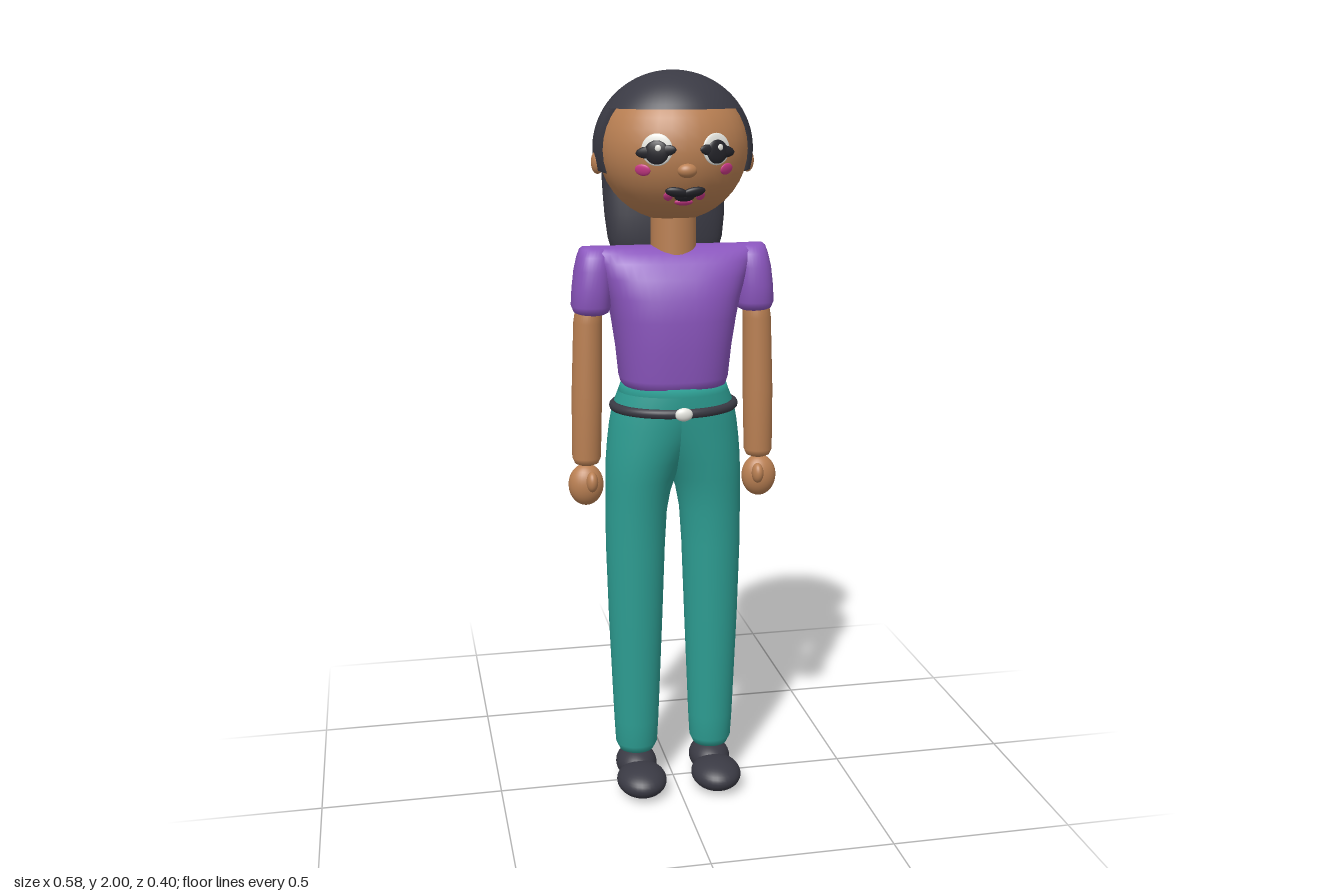
import * as THREE from 'three';
import { ParametricGeometry } from 'three/addons/geometries/ParametricGeometry.js';

const paint = (name, color, extra = {}) => new THREE.MeshStandardMaterial({ name, color, ...extra });

// Closed skin through rounded sections [y, cx, cz, rx, rz], listed from the bottom up
function loft(sections, side = 1, power = 2, seg = 36) {
  const pos = [], index = [], n = sections.length;
  const bend = (t) => Math.sign(t) * Math.pow(Math.abs(t), 2 / power);
  for (const [y, cx, cz, rx, rz] of sections) {
    for (let j = 0; j < seg; j++) {
      const a = (j / seg) * Math.PI * 2;
      pos.push(side * cx + rx * bend(Math.cos(a)), y, cz + rz * bend(Math.sin(a)));
    }
  }
  for (const s of [sections[0], sections[n - 1]]) pos.push(side * s[1], s[0], s[2]);
  for (let j = 0; j < seg; j++) {
    const k = (j + 1) % seg, top = (n - 1) * seg;
    for (let i = 0; i < n - 1; i++) {
      const a = i * seg + j, b = i * seg + k;
      index.push(a, a + seg, b, b, a + seg, b + seg);
    }
    index.push(n * seg, j, k, n * seg + 1, top + k, top + j);
  }
  const g = new THREE.BufferGeometry();
  g.setAttribute('position', new THREE.Float32BufferAttribute(pos, 3));
  g.setIndex(index);
  g.computeVertexNormals();
  return g;
}

export function createModel() {
  const skin = paint('skin', 0xba8053);
  const hair = paint('charcoal', 0x3a3a44, { side: THREE.DoubleSide });
  const shirt = paint('purple', 0x8a55bd);
  const trousers = paint('teal', 0x2d9d92);
  const white = paint('white', 0xe6e6e0);
  const dark = paint('black', 0x25252b);
  const pink = paint('pink', 0xcc3a88);

  const model = new THREE.Group();
  model.name = 'standingFigure';
  const add = (name, geometry, material) => {
    const m = new THREE.Mesh(geometry, material);
    m.name = name;
    model.add(m);
    return m;
  };
  const ball = (name, material, p, r) => {
    const m = add(name, new THREE.SphereGeometry(1, 32, 20), material);
    m.position.set(...p);
    m.scale.set(...r);
    return m;
  };

  // Head and neck
  const H = { y: 1.8, rx: 0.196, ry: 0.186, rz: 0.186 };
  ball('head', skin, [0, H.y, 0], [H.rx, H.ry, H.rz]);
  const neck = add('neck', new THREE.CylinderGeometry(0.06, 0.06, 0.16, 32), skin);
  neck.position.set(0, 1.59, 0.005);

  // Flat detail lying on the face surface, raised by lift
  const onFace = (name, material, x, y, rx, ry, rz = 0.006, lift = 0, roll = 0) => {
    const dx = x / H.rx, dy = (y - H.y) / H.ry;
    const z = H.rz * Math.sqrt(1 - dx * dx - dy * dy);
    const n = new THREE.Vector3(dx / H.rx, dy / H.ry, z / H.rz ** 2).normalize();
    const m = ball(name, material, [x + n.x * lift, y + n.y * lift, z + n.z * lift], [rx, ry, rz]);
    m.quaternion.setFromUnitVectors(new THREE.Vector3(0, 0, 1), n);
    m.rotateZ(roll);
    return m;
  };
  for (const s of [1, -1]) {
    onFace('eyeWhite', white, s * 0.075, 1.808, 0.04, 0.04, 0.008, 0.002);
    onFace('eyeLash', dark, s * 0.077, 1.804, 0.052, 0.018, 0.009, 0.004, -s * 0.1);
    onFace('iris', dark, s * 0.075, 1.802, 0.031, 0.03, 0.009, 0.006);
    onFace('eyeGlint', white, s * 0.075 + 0.004, 1.812, 0.008, 0.008, 0.003, 0.014);
    onFace('cheek', pink, s * 0.108, 1.757, 0.021, 0.015, 0.005);
    onFace('moustacheHalf', dark, s * 0.022, 1.702, 0.03, 0.014, 0.01, 0.002, s * 0.15);
    onFace('mouthCorner', pink, s * 0.042, 1.69, 0.012, 0.014, 0.005);
    ball('ear', skin, [s * 0.2, 1.768, 0.002], [0.017, 0.03, 0.021]);
  }
  onFace('nose', skin, 0, 1.756, 0.025, 0.018, 0.018);
  onFace('mouth', dark, 0, 1.688, 0.026, 0.014, 0.007);
  onFace('lowerLip', pink, 0, 1.674, 0.024, 0.01, 0.007);

  // Hair: crown cut level above the forehead
  const R = { y: 1.8, x: 0.21, h: 0.2, z: 0.2, cz: -0.004 };
  const fringeY = 1.905, sideY = 1.735;
  const crown = [];
  const start = Math.asin((fringeY - R.y) / R.h);
  for (let i = 0; i <= 14; i++) {
    const a = start + (Math.PI / 2 - 0.005 - start) * (i / 14);
    crown.push([R.y + R.h * Math.sin(a), 0, R.cz, R.x * Math.cos(a), R.z * Math.cos(a)]);
  }
  add('hairCrown', loft([crown[0], ...crown], 1, 2, 64), hair);

  // Hair: band around the sides and back, edges tucked into the head
  add('hairSides', new ParametricGeometry((u, v, out) => {
    const y = fringeY + (sideY - fringeY) * v;
    const r = Math.sqrt(1 - ((y - R.y) / R.h) ** 2);
    const s = Math.asin(0.052 / (R.z * r));
    const a = Math.PI - s + (Math.PI + 2 * s) * u;
    const tuck = u < 1e-6 || u > 1 - 1e-6 || v > 1 - 1e-6 ? 0.85 : 1;
    out.set(R.x * r * tuck * Math.cos(a), y, R.cz + R.z * r * tuck * Math.sin(a));
  }, 64, 14), hair);

  // Hair: long fall behind the neck
  add('hairFall', loft([
    [1.458, 0, -0.112, 0.04, 0.012], [1.466, 0, -0.11, 0.085, 0.026], [1.485, 0, -0.108, 0.122, 0.038],
    [1.52, 0, -0.106, 0.146, 0.047], [1.56, 0, -0.108, 0.158, 0.053], [1.62, 0, -0.115, 0.165, 0.06],
    [1.68, 0, -0.125, 0.168, 0.063], [1.74, 0, -0.132, 0.17, 0.065], [1.8, 0, -0.12, 0.165, 0.08],
    [1.86, 0, -0.09, 0.13, 0.08],
  ], 1, 2.3), hair);

  // Shirt body rising to a narrow ridge across the shoulders
  add('shirtBody', loft([
    [1.172, 0, 0, 0.125, 0.108], [1.18, 0, 0, 0.141, 0.12], [1.2, 0, 0, 0.147, 0.125],
    [1.28, 0, 0, 0.155, 0.131], [1.36, 0, 0.002, 0.167, 0.133], [1.42, 0, 0.002, 0.18, 0.126],
    [1.47, 0, 0.002, 0.197, 0.109], [1.51, 0, 0.002, 0.215, 0.085], [1.535, 0, 0.002, 0.232, 0.058],
    [1.547, 0, 0.002, 0.24, 0.033], [1.551, 0, 0.002, 0.238, 0.01],
  ], 1, 2.5, 48), shirt);

  for (const s of [1, -1]) {
    // Sleeve, arm and hand
    add('sleeve', loft([
      [1.372, 0.222, 0, 0.035, 0.042], [1.378, 0.222, 0, 0.046, 0.056], [1.395, 0.222, 0, 0.053, 0.064],
      [1.44, 0.22, 0, 0.052, 0.066], [1.49, 0.216, 0, 0.05, 0.062], [1.525, 0.212, 0, 0.046, 0.05],
      [1.545, 0.21, 0, 0.041, 0.032], [1.551, 0.21, 0, 0.034, 0.01],
    ], s, 2.3), shirt);
    add('arm', loft([
      [0.958, 0.24, 0.002, 0.018, 0.018], [0.964, 0.24, 0.002, 0.032, 0.032], [0.98, 0.24, 0.002, 0.039, 0.04],
      [1.15, 0.237, 0.002, 0.041, 0.042], [1.35, 0.232, 0.002, 0.038, 0.042], [1.42, 0.225, 0.002, 0.034, 0.04],
    ], s), skin);
    ball('hand', skin, [s * 0.243, 0.903, 0.004], [0.048, 0.058, 0.04]);
    ball('thumb', skin, [s * 0.231, 0.918, 0.04], [0.016, 0.028, 0.022]);

    // Trouser half: each leg widens into the shared waist
    add('trouserLeg', loft([
      [0.102, 0.108, 0.005, 0.03, 0.03], [0.109, 0.108, 0.005, 0.049, 0.048], [0.13, 0.108, 0.005, 0.059, 0.058],
      [0.2, 0.108, 0.005, 0.063, 0.061], [0.5, 0.108, 0.004, 0.075, 0.072], [0.72, 0.107, 0.002, 0.082, 0.08],
      [0.82, 0.104, 0, 0.085, 0.087], [0.88, 0.098, 0, 0.09, 0.093], [0.92, 0.091, 0, 0.097, 0.098],
      [0.97, 0.078, 0, 0.108, 0.105], [1.02, 0.058, 0, 0.124, 0.111], [1.07, 0.035, 0, 0.141, 0.117],
      [1.12, 0.012, 0.002, 0.155, 0.121], [1.16, 0, 0.002, 0.151, 0.123], [1.182, 0, 0.002, 0.143, 0.121],
    ], s), trousers);

    // Shoe: rounded heel and longer toe
    ball('shoeHeel', hair, [s * 0.108, 0.058, -0.002], [0.058, 0.047, 0.075]);
    ball('shoeToe', hair, [s * 0.108, 0.046, 0.088], [0.07, 0.043, 0.085]);
  }

  // Belt and buckle
  const belt = add('belt', new THREE.TorusGeometry(1, 0.075, 12, 64), hair);
  belt.rotation.x = Math.PI / 2;
  belt.position.set(0, 1.12, 0.008);
  belt.scale.set(0.164, 0.132, 0.17);
  ball('buckle', white, [0, 1.12, 0.146], [0.024, 0.018, 0.012]);

  return model;
}
